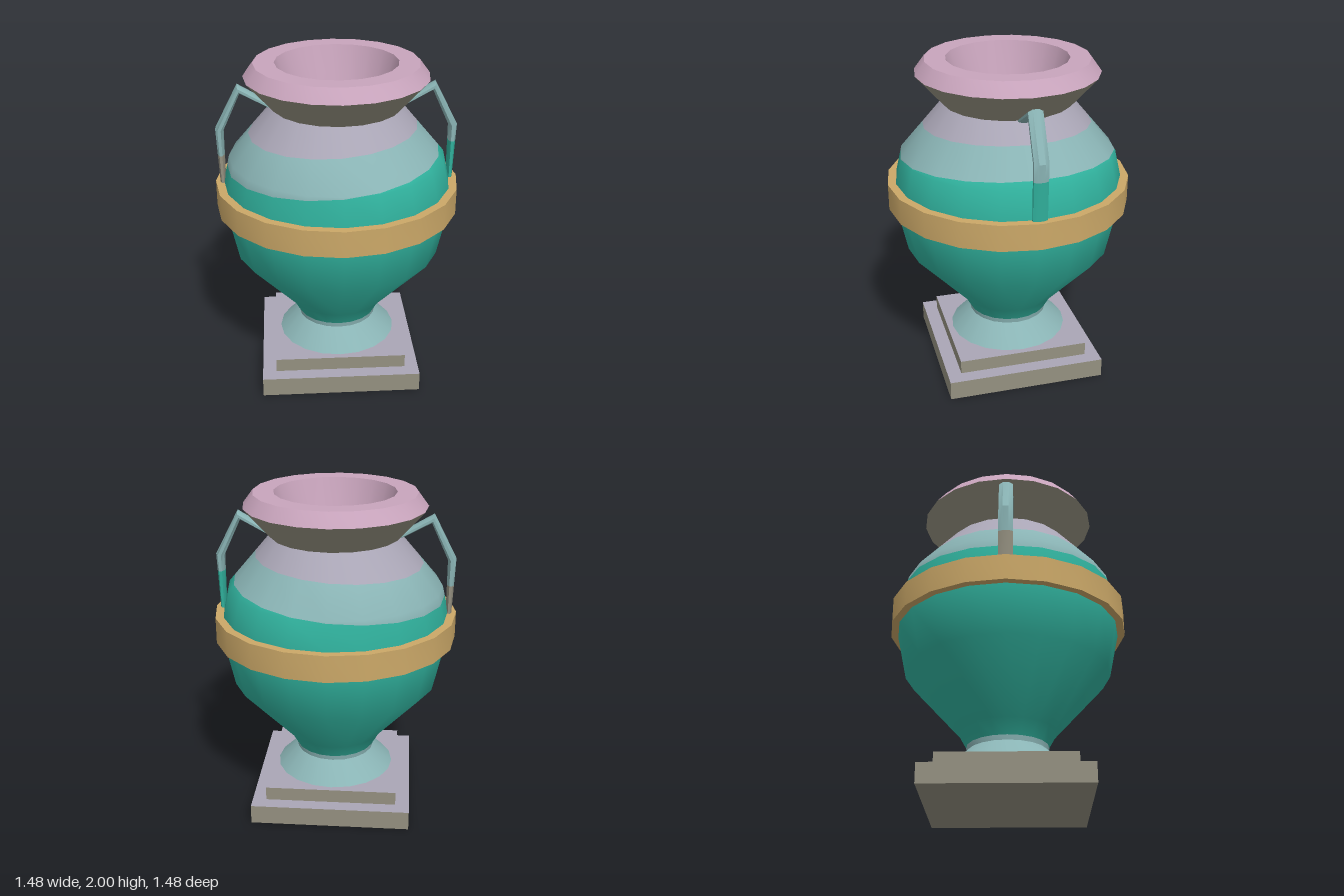
import * as THREE from 'three';
import { toCreasedNormals } from 'three/addons/utils/BufferGeometryUtils.js';

const SIDES = 20;

const material = (name, color) => {
  const m = new THREE.MeshStandardMaterial({ color });
  m.name = name;
  return m;
};

export function createModel() {
  const teal = material('teal', 0x30b09c);
  const paleBlue = material('paleBlue', 0x8ab4b5);
  const lilac = material('lilac', 0xaaa6b6);
  const olive = material('olive', 0x949080);
  const gold = material('gold', 0xcba868);
  const pink = material('pink', 0xc8a4bc);

  const group = new THREE.Group();
  const add = (name, geometry, mat, parent = group) => {
    const mesh = new THREE.Mesh(geometry, mat);
    mesh.name = name;
    parent.add(mesh);
    return mesh;
  };
  const lathe = (points) => toCreasedNormals(
    new THREE.LatheGeometry(points.map(([r, y]) => new THREE.Vector2(r, y)), SIDES), 0.7);

  // Stepped square plinth, olive sides and lilac tops
  const slab = (name, width, bottom, top) => {
    const g = new THREE.BoxGeometry(width, top - bottom, width).translate(0, (top + bottom) / 2, 0);
    add(name, g, [olive, olive, lilac, olive, olive, olive]);
  };
  slab('plinthBase', 0.98, 0, 0.12);
  slab('plinthStep', 0.81, 0.12, 0.205);

  // Flared foot and collar
  add('foot', lathe([[0.37, 0.205], [0.245, 0.33], [0.25, 0.36]]), paleBlue);

  // Body: one smooth surface, with slightly tilted colour boundaries
  const profile = [[0.25, 0.36], [0.3, 0.45], [0.635, 0.82], [0.695, 1.1],
    [0.69, 1.27], [0.652, 1.43], [0.39, 1.74]];
  const radiusAt = (y) => {
    let k = 1;
    while (k < profile.length - 1 && y > profile[k][1]) k++;
    const [[r0, y0], [r1, y1]] = [profile[k - 1], profile[k]];
    return THREE.MathUtils.mapLinear(y, y0, y1, r0, r1);
  };
  const shoulder = 1.43;
  const lowEdge = (s) => 1.42 + 0.05 * s;
  const highEdge = (s) => 1.6 + 0.028 * s;
  const rings = [
    ...profile.slice(0, 5).map(([, y]) => () => y),
    (s) => Math.min(shoulder, lowEdge(s)),
    lowEdge,
    (s) => Math.max(shoulder, lowEdge(s)),
    highEdge,
    () => 1.74,
  ];
  const bandColor = [0, 0, 0, 0, 0, 0, 1, 1, 2];
  const n = rings.length;
  const bodyGeometry = new THREE.LatheGeometry(rings.map((_, j) => new THREE.Vector2(1, j)), SIDES);
  const pos = bodyGeometry.attributes.position;
  for (let i = 0; i <= SIDES; i++) {
    const phi = ((i % SIDES) / SIDES) * Math.PI * 2;
    rings.forEach((ring, j) => {
      const y = ring(Math.sin(phi));
      const r = radiusAt(y);
      pos.setXYZ(i * n + j, r * Math.sin(phi), y, r * Math.cos(phi));
    });
  }
  for (let i = 0; i < SIDES; i++) {
    bandColor.forEach((c, j) => bodyGeometry.addGroup((i * (n - 1) + j) * 6, 6, c));
  }
  add('body', toCreasedNormals(bodyGeometry, 0.7), [teal, paleBlue, lilac]);

  // Belt around the widest part
  add('belt', lathe([[0.68, 1.105], [0.74, 1.105], [0.74, 1.265], [0.68, 1.265]]), gold);

  // Flared mouth, lip, throat and its floor
  add('mouth', lathe([[0.39, 1.74], [0.55, 1.92]]), olive);
  add('lip', lathe([[0.55, 1.92], [0.49, 2], [0.365, 2], [0.285, 1.72]]), pink);
  add('throatFloor', new THREE.CircleGeometry(0.285, SIDES).rotateX(-Math.PI / 2).translate(0, 1.72, 0), lilac);

  // Chamfered bar swept along [x, y, halfThickness] stations
  const bar = (path) => {
    const last = path.length - 1;
    const g = new THREE.CylinderGeometry(1, 1, 1, 8, last, false, Math.PI / 8);
    const p = g.attributes.position;
    const direction = (a, b) => new THREE.Vector2(path[b][0] - path[a][0], path[b][1] - path[a][1]).normalize();
    for (let i = 0; i < p.count; i++) {
      const k = Math.round((0.5 - p.getY(i)) * last);
      const before = direction(Math.max(k - 1, 0), Math.max(k, 1));
      const after = direction(Math.min(k, last - 1), Math.min(k + 1, last));
      const t = before.clone().add(after).normalize();
      const [x, y, half] = path[k];
      const offset = (p.getX(i) * half) / (0.924 * t.dot(after));
      p.setXYZ(i, x - t.y * offset, y + t.x * offset, (p.getZ(i) * 0.043) / 0.924);
    }
    return toCreasedNormals(g, 0.5);
  };

  // Handles: pale blue above, a different colour at each lower end
  const handle = (name, turn, splitY, lowerMaterial) => {
    const h = new THREE.Group();
    h.name = name;
    h.rotation.y = turn;
    const f = (1.6 - splitY) / (1.6 - 1.25);
    const split = [0.7 - 0.006 * f, splitY, 0.024 - 0.008 * f];
    add('handleUpper', bar([[0.39, 1.74, 0.014], [0.578, 1.846, 0.018], [0.7, 1.6, 0.024], split]), paleBlue, h);
    add('handleLower', bar([split, [0.694, 1.25, 0.016]]), lowerMaterial, h);
    group.add(h);
  };
  handle('leftHandle', 0, 1.5, teal);
  handle('rightHandle', Math.PI, 1.44, olive);

  return group;
}
